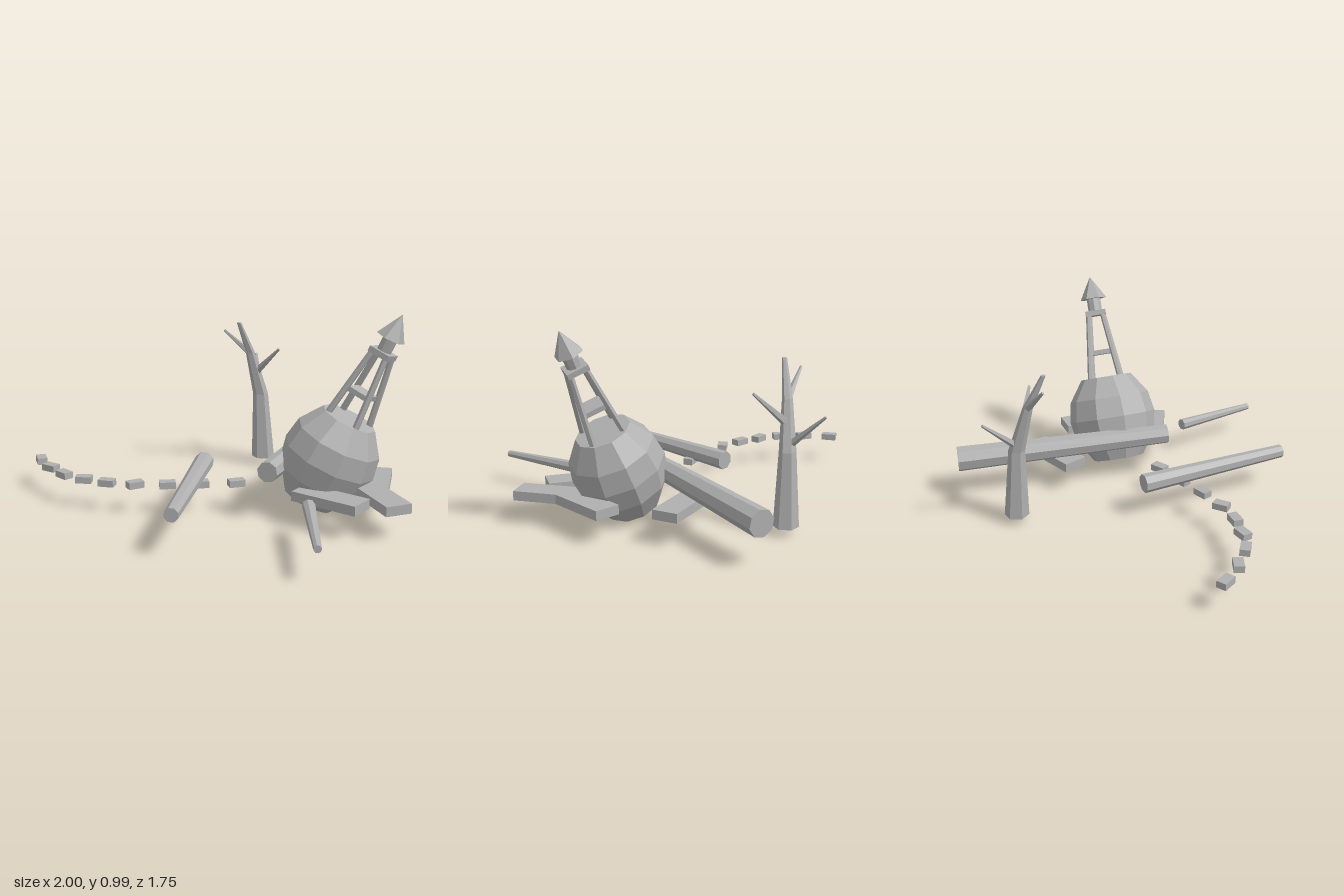
import * as THREE from 'three';

const grey = new THREE.MeshStandardMaterial({ color: 0xb0b0b0, flatShading: true });
grey.name = 'plain grey';
const V = (a) => new THREE.Vector3(...a);
const UP = new THREE.Vector3(0, 1, 0);

function add(parent, name, geometry, pos = [0, 0, 0]) {
  const m = new THREE.Mesh(geometry, grey);
  m.name = name;
  m.position.set(...pos);
  parent.add(m);
  return m;
}

// Tapered rod between two points
function rod(parent, name, a, b, ra, rb, sides = 8) {
  const p = V(a), q = V(b), d = q.clone().sub(p);
  const m = add(parent, name, new THREE.CylinderGeometry(rb, ra, d.length(), sides));
  m.position.copy(p).add(q).multiplyScalar(0.5);
  m.quaternion.setFromUnitVectors(UP, d.normalize());
  return m;
}

// Flat block turned so its length follows (dx, dz)
function block(parent, name, size, pos, dx, dz) {
  add(parent, name, new THREE.BoxGeometry(...size), pos).rotation.y = Math.atan2(-dz, dx);
}

function createBuoy() {
  const g = new THREE.Group();
  g.name = 'buoy';
  // Faceted float with flat ends
  const profile = [[0, -0.235], [0.14, -0.235], [0.22, -0.11], [0.24, 0], [0.22, 0.11], [0.14, 0.225], [0, 0.225]];
  add(g, 'float', new THREE.LatheGeometry(profile.map((p) => new THREE.Vector2(...p)), 10));
  // Cage: four leaning legs, a middle tray and a top collar
  for (const sx of [-1, 1]) {
    for (const sz of [-1, 1]) {
      rod(g, 'cageLeg', [sx * 0.085, 0.19, sz * 0.085], [sx * 0.038, 0.585, sz * 0.038], 0.017, 0.015, 6);
    }
  }
  add(g, 'cageTray', new THREE.BoxGeometry(0.115, 0.025, 0.115), [0, 0.365, 0]);
  add(g, 'cageCollar', new THREE.BoxGeometry(0.11, 0.028, 0.11), [0, 0.585, 0]);
  // Lamp and pointed cap
  add(g, 'lamp', new THREE.CylinderGeometry(0.038, 0.038, 0.09, 8), [0, 0.635, 0]);
  add(g, 'lampCap', new THREE.ConeGeometry(0.072, 0.125, 6), [0, 0.73, 0]);
  g.position.set(0.5, 0.265, -0.05);
  g.quaternion.setFromUnitVectors(UP, V([0.384, 0.91, -0.158]).normalize());
  return g;
}

function createTree() {
  const g = new THREE.Group();
  g.name = 'deadTree';
  // Bent trunk swept through tapering hexagonal rings: x, y, z, radius
  const rings = [[-0.183, 0.03, -0.535, 0.063], [-0.192, 0.4, -0.52, 0.042],
    [-0.218, 0.64, -0.455, 0.026], [-0.24, 0.82, -0.372, 0.012]];
  const n = 6, pos = [], idx = [];
  for (const [x, y, z, r] of rings) {
    for (let i = 0; i < n; i++) {
      const a = (i / n) * Math.PI * 2;
      pos.push(x + r * Math.sin(a), y, z + r * Math.cos(a));
    }
  }
  for (let k = 0; k < rings.length - 1; k++) {
    for (let i = 0; i < n; i++) {
      const a = k * n + i, b = k * n + ((i + 1) % n);
      idx.push(a, b, b + n, a, b + n, a + n);
    }
  }
  const last = (rings.length - 1) * n;
  for (let i = 1; i < n - 1; i++) {
    idx.push(0, i + 1, i, last, last + i, last + i + 1);
  }
  const geo = new THREE.BufferGeometry();
  geo.setAttribute('position', new THREE.Float32BufferAttribute(pos, 3));
  geo.setIndex(idx);
  geo.computeVertexNormals();
  add(g, 'trunk', geo);
  // Branches
  rod(g, 'branch', [-0.2, 0.43, -0.52], [-0.312, 0.59, -0.667], 0.02, 0.007, 5);
  rod(g, 'branch', [-0.2, 0.53, -0.49], [-0.037, 0.68, -0.46], 0.022, 0.007, 5);
  rod(g, 'branch', [-0.222, 0.64, -0.455], [-0.333, 0.77, -0.368], 0.02, 0.007, 5);
  return g;
}

export function createModel() {
  const root = new THREE.Group();
  root.name = 'driftwoodBuoy';
  root.add(createBuoy(), createTree());

  // Floating logs
  rod(root, 'longLog', [0.1, 0.2, -0.868], [0.325, 0.24, 0.25], 0.068, 0.052);
  rod(root, 'middleLog', [-0.137, 0.18, 0.113], [0.208, 0.192, 0.86], 0.05, 0.035);
  rod(root, 'smallLog', [0.61, 0.16, 0.35], [0.882, 0.152, 0.76], 0.031, 0.018);

  // Broad planks around the buoy: x, z, direction
  const planks = [[0.28, -0.36, 0.265, -0.23], [0.705, -0.165, 0.13, 0.33],
    [0.82, 0.03, 0.22, 0.16], [0.63, 0.18, 0.35, 0.025]];
  for (const [x, z, dx, dz] of planks) {
    block(root, 'plank', [0.35, 0.048, 0.133], [x, 0.14, z], dx, dz);
  }

  // Line of small floats: x, z, heading in degrees
  const floats = [[-0.953, 0.455, 38], [-0.82, 0.525, 0], [-0.685, 0.572, 12], [-0.55, 0.575, -30],
    [-0.42, 0.552, -20], [-0.285, 0.498, -62], [-0.15, 0.413, -40], [-0.02, 0.315, -45], [0.12, 0.205, -50]];
  for (const [x, z, deg] of floats) {
    const a = (deg * Math.PI) / 180;
    block(root, 'lineFloat', [0.08, 0.034, 0.05], [x, 0.137, z], Math.cos(a), Math.sin(a));
  }
  return root;
}
